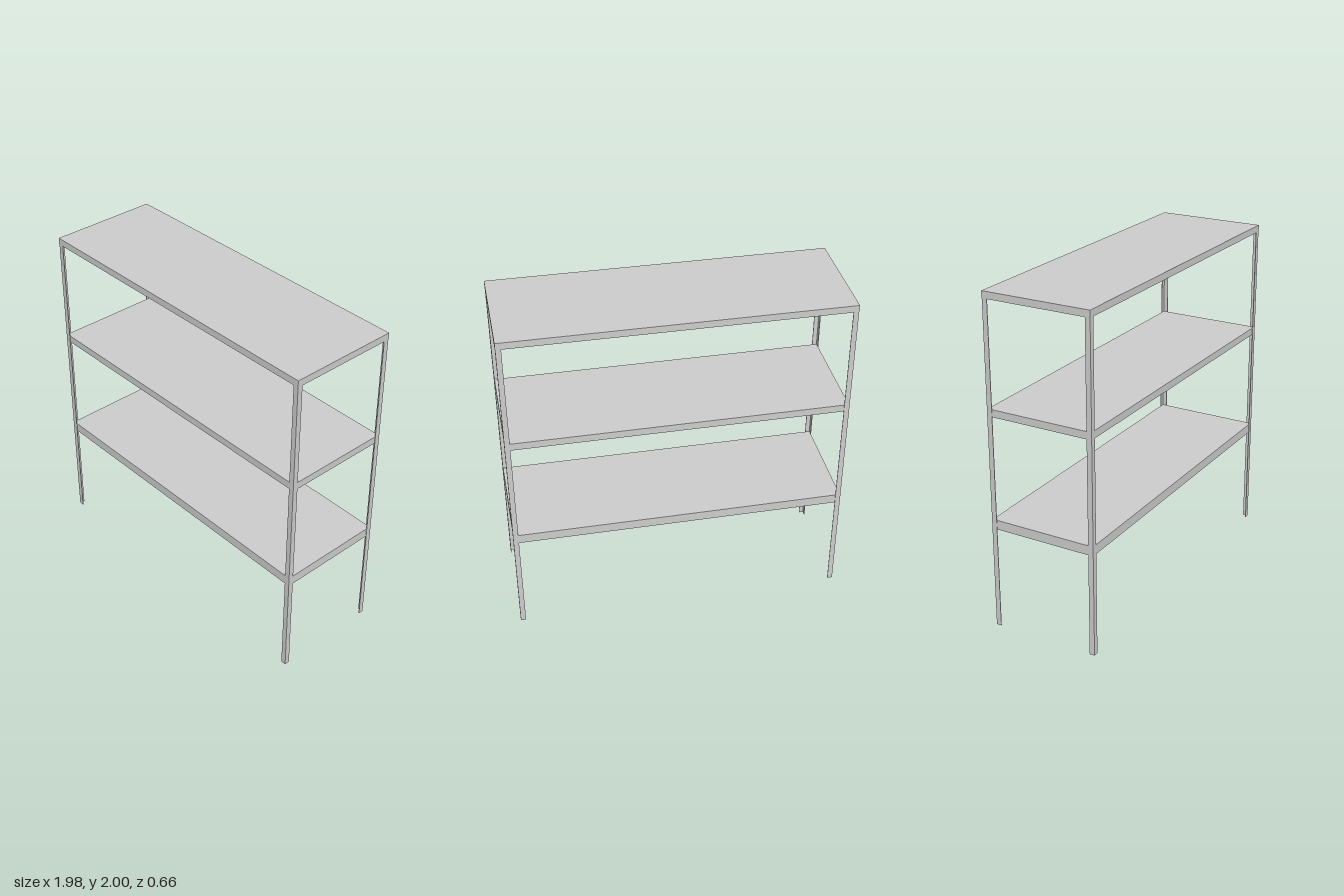
import * as THREE from 'three';

const HALF_X = 0.988, HALF_Z = 0.33; // outer footprint
const GAUGE = 0.004;                 // sheet metal thickness
const FLANGE = 0.031;                // width of each leg flange

export function createModel() {
  const rack = new THREE.Group();
  rack.name = 'shelvingRack';
  const metal = new THREE.MeshStandardMaterial({ color: 0xcccccc, flatShading: true });

  function box(parent, name, size, pos) {
    const mesh = new THREE.Mesh(new THREE.BoxGeometry(...size), metal);
    mesh.position.set(...pos);
    mesh.name = name;
    parent.add(mesh);
  }

  // Angle-iron leg: L section with its outer corner at the origin
  const section = new THREE.Shape([
    [0, 0], [FLANGE, 0], [FLANGE, GAUGE], [GAUGE, GAUGE], [GAUGE, FLANGE], [0, FLANGE],
  ].map(([x, y]) => new THREE.Vector2(x, y)));
  const legGeometry = new THREE.ExtrudeGeometry(section, { depth: 1.998, bevelEnabled: false });
  legGeometry.rotateX(-Math.PI / 2); // stands up; flanges run toward +x and -z

  const corners = [
    ['frontRightLeg', -1, 1, 0], ['frontLeftLeg', 1, 1, Math.PI / 2],
    ['backLeftLeg', 1, -1, Math.PI], ['backRightLeg', -1, -1, -Math.PI / 2],
  ];
  for (const [name, sx, sz, turn] of corners) {
    const leg = new THREE.Mesh(legGeometry, metal);
    leg.position.set(sx * HALF_X, 0, sz * HALF_Z);
    leg.rotation.y = turn;
    leg.name = name;
    rack.add(leg);
  }

  // Tray shelf: thin deck with a rim folded down on all four sides
  function addShelf(name, top, depth, inset) {
    const shelf = new THREE.Group();
    shelf.name = name;
    const hx = HALF_X - inset, hz = HALF_Z - inset, deck = 0.006;
    box(shelf, 'deck', [hx * 2, deck, hz * 2], [0, top - deck / 2, 0]);
    const rim = depth - deck, y = top - deck - rim / 2;
    for (const s of [1, -1]) {
      box(shelf, s > 0 ? 'frontRim' : 'backRim', [hx * 2, rim, GAUGE], [0, y, s * (hz - GAUGE / 2)]);
      box(shelf, s > 0 ? 'leftRim' : 'rightRim', [GAUGE, rim, (hz - GAUGE) * 2], [s * (hx - GAUGE / 2), y, 0]);
    }
    rack.add(shelf);
  }
  addShelf('lowerShelf', 0.676, 0.057, 0.003);
  addShelf('middleShelf', 1.34, 0.044, 0.003);
  addShelf('topShelf', 2, 0.041, -0.001);

  return rack;
}
